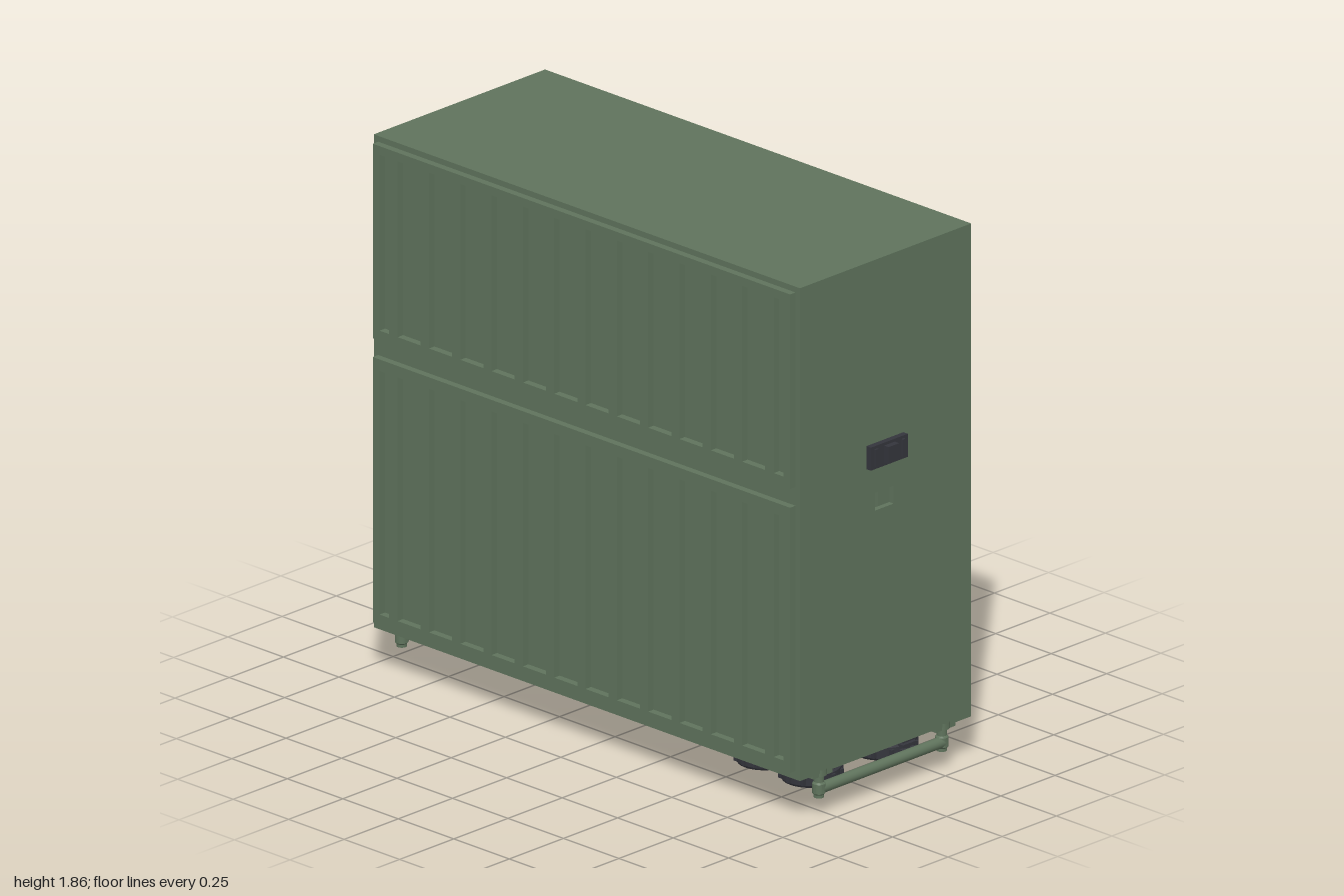
import * as THREE from 'three';
import { toCreasedNormals } from 'three/addons/utils/BufferGeometryUtils.js';

const green = new THREE.MeshStandardMaterial({ color: 0x5f735c });
const dark = new THREE.MeshStandardMaterial({ color: 0x34353c });
const black = new THREE.MeshStandardMaterial({ color: 0x25262b });

export function createModel() {
  const root = new THREE.Group();
  root.name = 'radioCabinet';

  const add = (name, geo, mat, x = 0, y = 0, z = 0, parent = root) => {
    const m = new THREE.Mesh(geo, mat);
    m.name = name;
    m.position.set(x, y, z);
    parent.add(m);
    return m;
  };
  // box given by its limits on each axis
  const box = (name, mat, x0, x1, y0, y1, z0, z1, parent) =>
    add(name, new THREE.BoxGeometry(x1 - x0, y1 - y0, z1 - z0), mat,
      (x0 + x1) / 2, (y0 + y1) / 2, (z0 + z1) / 2, parent);
  const rect = (C, x0, x1, y0, y1) => new C([
    new THREE.Vector2(x0, y0), new THREE.Vector2(x1, y0),
    new THREE.Vector2(x1, y1), new THREE.Vector2(x0, y1)]);
  const slab = (shape, depth) =>
    new THREE.ExtrudeGeometry(shape, { depth, bevelEnabled: false, curveSegments: 24 });
  const lathe = (profile, segs = 28) => toCreasedNormals(
    new THREE.LatheGeometry(profile.map(p => new THREE.Vector2(p[0], p[1])), segs), 0.5);

  // Cabinet shell
  const T = 0.02;
  box('topPanel', green, -0.96, 0.96, 1.84, 1.86, -0.41, 0.38);
  box('frontWall', green, -0.96, 0.96, 0.15, 1.84, 0.36, 0.38);
  const back = rect(THREE.Shape, -0.96, 0.96, 0.15, 1.84);
  const port = new THREE.Path();
  port.absarc(0.635, 0.995, 0.036, 0, Math.PI * 2, true);
  back.holes.push(port);
  add('backWall', slab(back, T), green, 0, 0, -0.41);
  const bush = add('backPortPlate', new THREE.CylinderGeometry(0.045, 0.045, 0.02, 24), green, 0.635, 0.995, -0.37);
  bush.rotation.x = Math.PI / 2;
  box('backPortBar', green, 0.625, 0.645, 0.96, 1.03, -0.39, -0.375);

  // Side walls with a small opening, and the latch above it
  const side = rect(THREE.Shape, -0.39, 0.36, 0.15, 1.84);
  side.holes.push(rect(THREE.Path, -0.052, 0.034, 0.99, 1.052));
  const sideGeo = slab(side, T).rotateY(-Math.PI / 2);
  for (const s of [1, -1]) {
    const part = s > 0 ? 'left' : 'right';
    add(part + 'Wall', sideGeo, green, s > 0 ? 0.96 : -0.96 + T);
    const span = (name, mat, a, b, y0, y1, z0, z1) =>
      box(part + name, mat, Math.min(s * a, s * b), Math.max(s * a, s * b), y0, y1, z0, z1);
    span('OpeningTab', green, 0.92, 0.958, 1.0, 1.052, -0.035, 0.017);
    span('LatchPlate', dark, 0.96, 0.98, 1.145, 1.225, -0.097, 0.073);
    span('LatchButton', dark, 0.98, 1.0, 1.157, 1.215, -0.037, 0.012);
    for (const z of [-0.08, 0.045])
      span('LatchRib', dark, 0.98, 0.987, 1.155, 1.215, z, z + 0.012);

    // Guard rail under the side
    const rail = new THREE.Group();
    rail.name = part + 'GuardRail';
    root.add(rail);
    const bar = add('railBar', new THREE.CylinderGeometry(0.019, 0.019, 0.57, 20), green, s * 0.943, 0.09, -0.01, rail);
    bar.rotation.x = Math.PI / 2;
    const post = lathe([[0, 0.06], [0.017, 0.06], [0.017, 0.07], [0.022, 0.075], [0.022, 0.108],
      [0.017, 0.114], [0.017, 0.135], [0.026, 0.138], [0.026, 0.16]], 20);
    for (const z of [0.272, -0.295]) {
      add('railPost', post, green, s * 0.94, 0, z, rail);
      box('railFoot', green, s * 0.93 - 0.028, s * 0.93 + 0.028, 0.137, 0.152, z - 0.045, z + 0.045, rail);
    }
  }

  // Two front panels with rows of recessed slots
  const panel = (name, y0, y1, s0, s1) => {
    const shape = rect(THREE.Shape, -0.94, 0.94, y0, y1);
    const slot = (cx, w) => shape.holes.push(rect(THREE.Path, cx - w / 2, cx + w / 2, s0, s1));
    for (let i = 0; i < 12; i++) slot((i - 5.5) * 0.1411, 0.104);
    slot(-0.888, 0.043);
    slot(0.888, 0.043);
    add(name, slab(shape, 0.025), green, 0, 0, 0.38);
  };
  panel('upperFrontPanel', 1.165, 1.84, 1.2, 1.81);
  panel('lowerFrontPanel', 0.18, 1.1, 0.215, 1.06);

  // Control panel on the underside
  box('controlPanel', black, -0.94, 0.94, 0.152, 0.175, -0.39, 0.36);

  // Plugs with ribbed caps
  const plug = (name, x, z, r, yEnd) => {
    const g = new THREE.Group();
    g.name = name;
    g.position.set(x, 0, z);
    root.add(g);
    add('plugBody', lathe([[0, yEnd + 0.012], [r * 0.72, yEnd + 0.012], [r * 0.76, yEnd], [r * 0.95, yEnd],
      [r, yEnd + 0.008], [r, yEnd + 0.045], [r * 0.92, yEnd + 0.05], [r * 0.92, yEnd + 0.07],
      [r * 1.06, yEnd + 0.075], [r * 1.06, 0.155]]), dark, 0, 0, 0, g);
    box('plugKey', dark, -r * 0.12, r * 0.12, yEnd, yEnd + 0.015, -r * 0.5, r * 0.5, g);
    for (let i = 0; i < 12; i++) {
      const a = i * Math.PI / 6;
      const rib = box('plugRib', dark, -0.007, 0.007, yEnd + 0.01, yEnd + 0.04, -0.007, 0.007, g);
      rib.position.x = Math.cos(a) * r;
      rib.position.z = Math.sin(a) * r;
    }
    return g;
  };
  plug('frontPlugOuter', 0.755, 0.12, 0.1, 0.033);
  plug('frontPlugInner', 0.545, 0.12, 0.093, 0.033);
  const cap = plug('rearPlug', 0.765, -0.2, 0.11, 0.043);
  for (let i = 0; i < 3; i++)
    box('capTooth', dark, 0.1, 0.123, 0.068 + i * 0.018, 0.079 + i * 0.018, -0.03, 0.03, cap);

  // Rotary selectors: round skirt with a pointed grip
  const grip = new THREE.Shape([[-0.03, -0.07], [0.03, -0.07], [0.042, 0], [0.03, 0.055], [0, 0.088],
    [-0.03, 0.055], [-0.042, 0]].map(p => new THREE.Vector2(...p)));
  const gripGeo = slab(grip, 0.065).rotateX(Math.PI / 2);
  const selector = (name, x, z, yEnd, turn) => {
    const g = new THREE.Group();
    g.name = name;
    g.position.set(x, 0, z);
    g.rotation.y = turn;
    root.add(g);
    add('selectorSkirt', lathe([[0, 0.09], [0.072, 0.09], [0.09, 0.098], [0.09, 0.138],
      [0.08, 0.142], [0.08, 0.155]]), dark, 0, 0, 0, g);
    add('selectorGrip', gripGeo, dark, 0, yEnd + 0.065, 0, g);
  };
  selector('selectorOuter', 0.445, -0.2, 0.05, 0.9);
  selector('selectorRear', 0.185, -0.2, 0.035, -0.7);
  selector('selectorFront', 0.2, 0.05, 0.035, 0.3);

  // Stepped antenna connector and small knob
  add('antennaConnector', lathe([[0, 0], [0.05, 0], [0.053, 0.004], [0.053, 0.04], [0.068, 0.042],
    [0.068, 0.075], [0.075, 0.08], [0.075, 0.115], [0.09, 0.12], [0.09, 0.155]]), dark, -0.75, 0, -0.2);
  box('antennaTab', dark, -0.7, -0.665, 0.038, 0.05, -0.215, -0.185);
  add('smallKnob', lathe([[0, 0.055], [0.045, 0.055], [0.05, 0.06], [0.05, 0.115], [0.06, 0.12],
    [0.06, 0.155]]), dark, -0.745, 0, 0.1);
  box('smallKnobMark', dark, -0.752, -0.738, 0.05, 0.06, 0.06, 0.14);

  // Keypad
  for (let c = 0; c < 5; c++)
    for (let r = 0; r < 3; r++) {
      const x = -0.06 - c * 0.112, z = -0.315 + r * 0.09;
      box('keyBase', black, x - 0.047, x + 0.047, 0.144, 0.155, z - 0.036, z + 0.036);
      box('key', dark, x - 0.035, x + 0.035, 0.134, 0.146, z - 0.025, z + 0.025);
    }

  // Display: raised frame around a window
  const frame = rect(THREE.Shape, -0.6, 0.02, -0.04, 0.25);
  frame.holes.push(rect(THREE.Path, -0.54, -0.04, 0.0, 0.2));
  add('displayFrame', slab(frame, 0.008).rotateX(Math.PI / 2), black, 0, 0.153, 0);

  // Panel screws
  const screw = new THREE.CylinderGeometry(0.014, 0.014, 0.012, 12);
  for (const x of [-0.88, -0.64, 0.06, 0.34, 0.89])
    for (const z of [-0.35, 0.32]) add('panelScrew', screw, dark, x, 0.15, z);

  return root;
}
